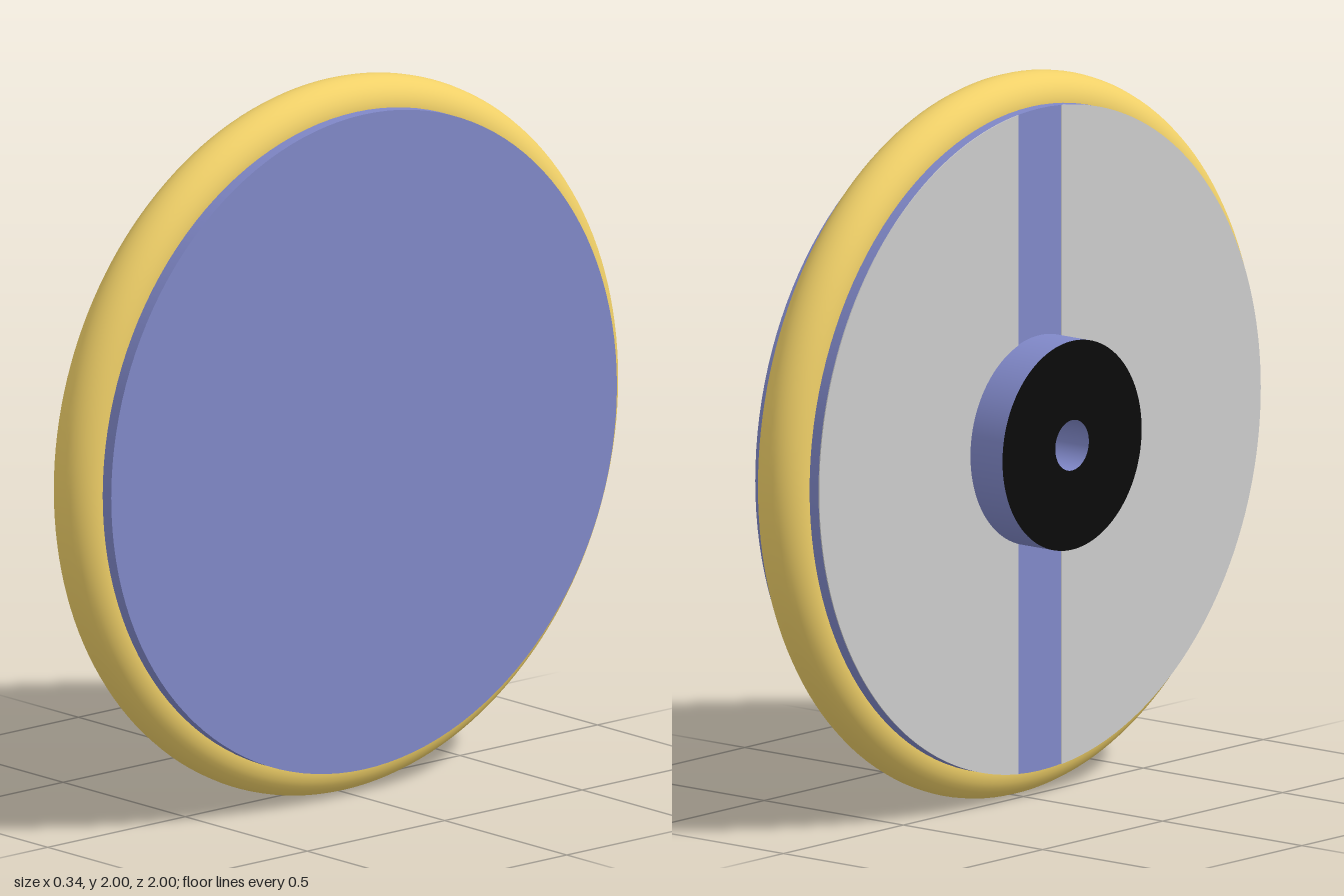
import * as THREE from 'three';

const CENTRE_Y = 1, DISC_R = 0.92, HUB_R = 0.29, BORE_R = 0.07;
const BACK = -0.057, FRONT = 0.17, HUB_END = -0.175;

const paint = (color, side = THREE.FrontSide) => new THREE.MeshStandardMaterial({ color, side });

export function createModel() {
  const group = new THREE.Group();
  const blue = paint(0x8088c8), gold = paint(0xf0d068), grey = paint(0xcccccc), black = paint(0x0a0a0a);

  const add = (name, geometry, material, x = 0) => {
    const mesh = new THREE.Mesh(geometry, material);
    mesh.name = name;
    mesh.position.set(x, CENTRE_Y, 0);
    group.add(mesh);
  };
  // cylinder lying along x between two ends
  const cylinder = (name, r, x0, x1, material, open = false) =>
    add(name, new THREE.CylinderGeometry(r, r, x1 - x0, 128, 1, open).rotateZ(Math.PI / 2), material, (x0 + x1) / 2);

  // main disc and rounded rim
  cylinder('disc', DISC_R, BACK, FRONT, blue);
  add('rim', new THREE.TorusGeometry(0.92, 0.08, 32, 160).rotateY(Math.PI / 2), gold, 0.055);

  // two circular segments on the hub side, leaving a vertical strip between them
  const edge = Math.acos(0.09 / DISC_R);
  for (const [name, turn] of [['frontPanel', 0], ['backPanel', Math.PI]]) {
    const segment = new THREE.Shape();
    segment.absarc(0, 0, DISC_R, turn - edge, turn + edge, false);
    segment.closePath();
    const panel = new THREE.ExtrudeGeometry(segment, { depth: 0.003, bevelEnabled: false, curveSegments: 64 });
    add(name, panel.rotateY(-Math.PI / 2), grey, BACK);
  }

  // hub with a central bore and a dark end face
  cylinder('hub', HUB_R, HUB_END, BACK, blue, true);
  cylinder('bore', BORE_R, HUB_END, BACK, paint(0x8088c8, THREE.DoubleSide), true);
  add('hubFace', new THREE.RingGeometry(BORE_R, HUB_R, 128).rotateY(-Math.PI / 2), black, HUB_END);

  return group;
}
